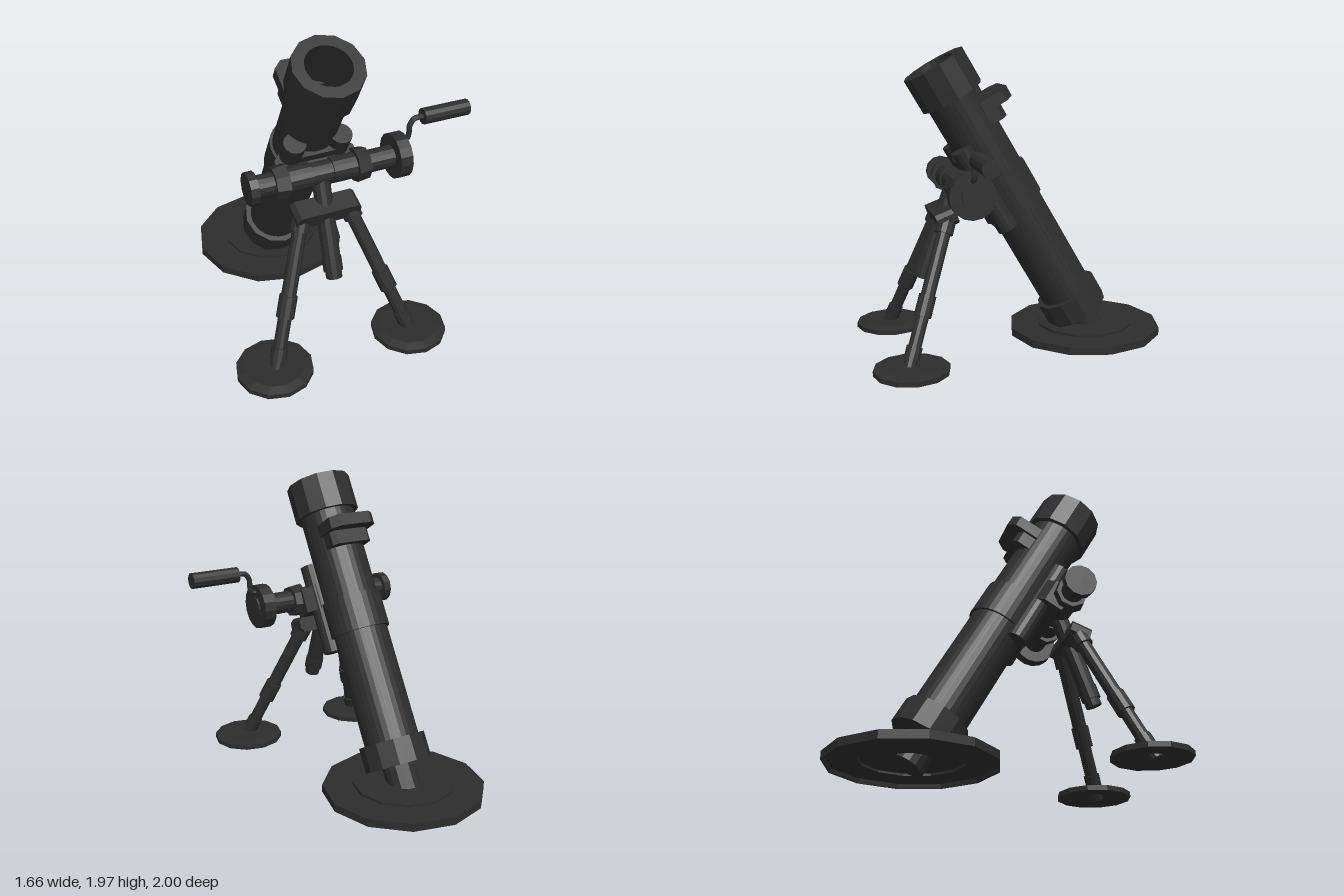
import * as THREE from 'three';

export function createModel() {
  const root = new THREE.Group();
  root.name = 'mortar';
  const steel = new THREE.MeshStandardMaterial({ color: 0x2d2d2d, flatShading: true });
  steel.name = 'dark steel';
  const CX = -0.147; // centre plane of the weapon
  const V = (x, y, z) => new THREE.Vector3(x, y, z);

  function add(parent, name, geometry, x = 0, y = 0, z = 0) {
    const mesh = new THREE.Mesh(geometry, steel);
    mesh.name = name;
    mesh.position.set(x, y, z);
    parent.add(mesh);
    return mesh;
  }
  // turned part from [radius, height] points
  const lathe = (pts, sides) =>
    new THREE.LatheGeometry(pts.map(([r, h]) => new THREE.Vector2(r, h)), sides);
  // flat outline with a thickness, centred on its depth
  function slab(pts, depth) {
    const shape = new THREE.Shape(pts.map(([x, y]) => new THREE.Vector2(x, y)));
    const g = new THREE.ExtrudeGeometry(shape, { depth, bevelEnabled: false });
    return g.translate(0, 0, -depth / 2);
  }
  // cylinder running between two points
  function rod(parent, name, a, b, r, sides = 12, r2 = r) {
    const dir = b.clone().sub(a);
    const mesh = add(parent, name, new THREE.CylinderGeometry(r2, r, dir.length(), sides));
    mesh.position.copy(a).lerp(b, 0.5);
    mesh.quaternion.setFromUnitVectors(V(0, 1, 0), dir.normalize());
    return mesh;
  }

  // base plate, dished underneath
  add(root, 'basePlate', lathe([[0, 0.1], [0.31, 0.1], [0.31, 0.086], [0.495, 0.086], [0.5, 0.058],
    [0.51, 0.058], [0.51, 0.108], [0.32, 0.108], [0.32, 0.125], [0, 0.125]], 12), CX, 0, -0.49);

  // barrel assembly, tilted forward 30 degrees
  const barrel = new THREE.Group();
  barrel.name = 'barrelAssembly';
  barrel.position.set(CX, 0.1, -0.5);
  barrel.rotation.x = Math.PI / 6;
  root.add(barrel);
  const ring = (name, r, s0, s1, sides = 12) =>
    add(barrel, name, new THREE.CylinderGeometry(r, r, s1 - s0, sides), 0, (s0 + s1) / 2, 0);
  ring('baseSpike', 0.108, -0.05, 0.15, 16);
  ring('breechCap', 0.213, 0.13, 0.29);
  ring('barrelSleeve', 0.192, 1.003, 1.235, 32);
  add(barrel, 'barrelTube', lathe([[0, 0.2], [0.176, 0.2], [0.176, 1.82]], 32));
  add(barrel, 'muzzle', lathe([[0.15, 1.805], [0.21, 1.805], [0.21, 2.037], [0.139, 2.037]], 12));
  add(barrel, 'bore', lathe([[0.15, 2.036], [0.136, 2.036], [0.136, 1.2], [0, 1.2]], 24));

  // recoil cylinders along the front of the barrel
  for (const side of [-1, 1]) {
    add(barrel, 'recoilCylinder', new THREE.CylinderGeometry(0.068, 0.068, 0.59, 16),
      side * 0.145, 1.225, 0.138);
  }
  add(barrel, 'recoilCradle', new THREE.BoxGeometry(0.29, 0.5, 0.08), 0, 1.19, 0.155);

  // bracket with cut corners joining barrel and cross shaft
  add(barrel, 'shaftBracket', slab([[-0.25, -0.27], [0.25, -0.27], [0.25, -0.15], [0.18, -0.08],
    [-0.18, -0.08], [-0.25, -0.15]], 0.16), 0, 1.3, 0).rotation.x = -Math.PI / 2;

  // sight mount on the back of the barrel
  for (const [name, w, back, cut, height, s] of [
    ['sightMountUpper', 0.16, 0.31, 0.05, 0.075, 1.67],
    ['sightMountLower', 0.14, 0.222, 0.03, 0.09, 1.59]]) {
    add(barrel, name, slab([[-w, 0.1], [w, 0.1], [w, back - cut], [w - cut, back],
      [cut - w, back], [-w, back - cut]], height), 0, s, 0).rotation.x = -Math.PI / 2;
  }

  // cross shaft with its collars, end knob and handwheel
  const SY = 1.128, SZ = 0.4;
  const shaft = (name, x0, x1, r, sides = 12, r2 = r) =>
    rod(root, name, V(x0, SY, SZ), V(x1, SY, SZ), r, sides, r2);
  shaft('crossShaft', -0.58, 0.38, 0.07, 16);
  shaft('endKnob', -0.6, -0.55, 0.1);
  for (const side of [-1, 1]) {
    shaft('shaftHousing', CX + side * 0.065, CX + side * 0.22, 0.08, 16);
    shaft('shaftCollar', CX + side * 0.215, CX + side * 0.297, 0.108, 8, 0.098);
  }
  shaft('handwheel', 0.32, 0.4, 0.141, 16);
  shaft('wheelHub', 0.38, 0.412, 0.07);

  // crank handle
  const crank = new THREE.CatmullRomCurve3([V(0.39, 1.225, SZ), V(0.425, 1.228, SZ),
    V(0.436, 1.26, SZ), V(0.438, 1.31, SZ), V(0.465, 1.35, SZ), V(0.54, 1.357, SZ)]);
  add(root, 'crankRod', new THREE.TubeGeometry(crank, 20, 0.017, 8));
  rod(root, 'crankGrip', V(0.522, 1.355, SZ), V(0.83, 1.355, SZ), 0.05);

  // elevating post hanging from the shaft
  const along = (a, b, t) => a.clone().lerp(b, t);
  const postTop = V(CX, SY, SZ), postEnd = V(CX, 0.515, 0.62);
  rod(root, 'elevatingPost', postTop, along(postTop, postEnd, 0.82), 0.055);
  rod(root, 'postKnob', along(postTop, postEnd, 0.8), along(postTop, postEnd, 0.93), 0.06);
  rod(root, 'postTip', along(postTop, postEnd, 0.9), postEnd, 0.05);

  // yoke plate with cut corners holding the legs
  add(root, 'legYoke', slab([[-0.18, -0.05], [0.18, -0.05], [0.205, -0.025], [0.205, 0.025],
    [0.18, 0.05], [-0.18, 0.05], [-0.205, 0.025], [-0.205, -0.025]], 0.13),
  CX, 0.923, 0.482).rotation.x = 0.36;

  // two legs with feet
  for (const side of [-1, 1]) {
    const leg = new THREE.Group();
    leg.name = side > 0 ? 'leftLeg' : 'rightLeg';
    root.add(leg);
    const foot = V(CX + side * 0.455, 0.06, 0.79);
    const top = V(CX + side * 0.147, 0.91, 0.478);
    rod(leg, 'legSocket', along(foot, top, 0.91), top, 0.06);
    rod(leg, 'upperLeg', along(foot, top, 0.42), top, 0.045);
    rod(leg, 'legJoint', along(foot, top, 0.36), along(foot, top, 0.5), 0.055);
    rod(leg, 'lowerLeg', foot, along(foot, top, 0.4), 0.041);
    rod(leg, 'ankleCuff', along(foot, top, 0.09), along(foot, top, 0.17), 0.05);
    // foot, dished underneath
    add(leg, 'foot', lathe([[0, 0.085], [0.18, 0.085], [0.222, 0.062], [0.233, 0.062],
      [0.233, 0.093], [0.18, 0.107], [0, 0.107]], 12), CX + side * 0.45, 0, 0.765);
  }
  return root;
}
